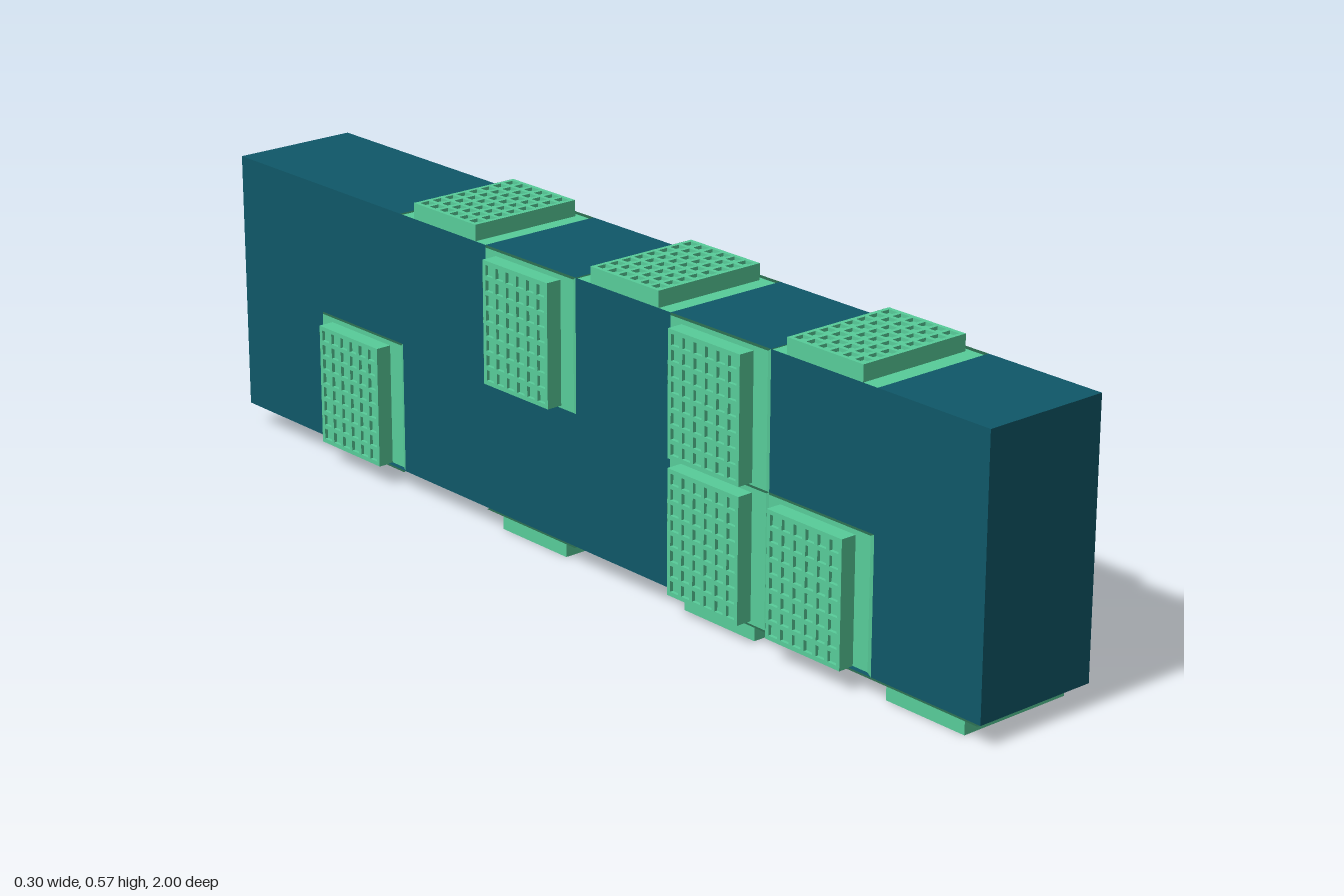
import * as THREE from 'three';
import { mergeGeometries } from 'three/addons/utils/BufferGeometryUtils.js';

const V = (x, y, z) => new THREE.Vector3(x, y, z);
const X = 0.127, Y0 = 0.044, Y1 = 0.55, YM = (Y0 + Y1) / 2; // duct walls
const CELL = 0.25;
const SHIFT = V(0.01, -0.01, -0.018); // trays sit slightly off their openings
const BOX_U = 0.1175, BOX_Z = 0.09, DEPTH = 0.031;

// Flat-shaded geometry from four-cornered faces
function quads(list) {
  const pos = [];
  for (const [a, b, c, d] of list) for (const p of [a, b, c, a, c, d]) pos.push(p.x, p.y, p.z);
  const g = new THREE.BufferGeometry();
  g.setAttribute('position', new THREE.Float32BufferAttribute(pos, 3));
  g.computeVertexNormals();
  return g;
}

// Rectangular loop in tray space: x across, y outward, z along the duct
const loop = (hx, hz, y) => [V(-hx, y, hz), V(hx, y, hz), V(hx, y, -hz), V(-hx, y, -hz)];

// Skin through successive loops
function loft(loops) {
  const list = [];
  for (let i = 0; i + 1 < loops.length; i++) {
    for (let k = 0; k < 4; k++) {
      const n = (k + 1) % 4;
      list.push([loops[i][k], loops[i][n], loops[i + 1][n], loops[i + 1][k]]);
    }
  }
  return quads(list);
}

// Solid sheet with a lattice of bars on both faces
function gratingGeometry() {
  const parts = [];
  const box = (w, h, d, x, y, z) => parts.push(new THREE.BoxGeometry(w, h, d).translate(x, y, z));
  const mid = DEPTH - 0.008, bar = 0.008, nx = 8, nz = 6;
  box(BOX_U * 2, 0.003, BOX_Z * 2, 0, mid, 0);
  for (let i = 0; i <= nx; i++) {
    box(bar, 0.016, BOX_Z * 2, (i / nx - 0.5) * (BOX_U * 2 - bar), mid, 0);
  }
  for (let i = 0; i <= nz; i++) {
    box(BOX_U * 2, 0.0156, bar, 0, mid, (i / nz - 0.5) * (BOX_Z * 2 - bar));
  }
  return mergeGeometries(parts);
}

export function createModel() {
  const model = new THREE.Group();
  const teal = new THREE.MeshStandardMaterial({ color: 0x0f5768, side: THREE.DoubleSide });
  teal.name = 'deepTeal';
  const green = new THREE.MeshStandardMaterial({ color: 0x57cc99, side: THREE.DoubleSide });
  green.name = 'mintGreen';
  const grating = gratingGeometry();

  function add(parent, name, geometry, material) {
    const m = new THREE.Mesh(geometry, material);
    m.name = name;
    parent.add(m);
  }

  // Recessed tray: sloped collar, flange, side walls and grating
  function addTray(name, centre, normal, halfU) {
    const u = normal.clone().cross(V(0, 0, 1));
    const g = new THREE.Group();
    g.name = name;
    const basis = new THREE.Matrix4().makeBasis(u, normal, V(0, 0, 1));
    basis.setPosition(centre.clone().add(SHIFT));
    g.applyMatrix4(basis);
    const s = V(SHIFT.dot(u), SHIFT.dot(normal), SHIFT.z);
    const opening = loop(halfU, CELL / 2, 0).map((p) => p.sub(s));
    add(g, name + 'Frame', loft([opening, loop(halfU, CELL / 2, 0),
      loop(BOX_U, BOX_Z, 0), loop(BOX_U, BOX_Z, DEPTH)]), green);
    add(g, name + 'Grating', grating, green);
    model.add(g);
  }

  // Rows of square cells, each a plain panel or a tray
  const rows = [
    { name: 'ceiling', c: V(0, Y1, 0), n: V(0, 1, 0), half: X, trays: [1, 3, 5] },
    { name: 'floor', c: V(0, Y0, 0), n: V(0, -1, 0), half: X, trays: [0, 2, 4] },
    { name: 'upperWall', c: V(-X, (YM + Y1) / 2, 0), n: V(-1, 0, 0), half: (Y1 - YM) / 2, trays: [2, 4] },
    { name: 'lowerWall', c: V(-X, (YM + Y0) / 2, 0), n: V(-1, 0, 0), half: (YM - Y0) / 2, trays: [1, 2, 6] },
  ];
  for (const { name, c, n, half, trays } of rows) {
    const u = n.clone().cross(V(0, 0, 1)).multiplyScalar(half);
    const panels = [];
    for (let i = 0; i < 8; i++) {
      const centre = c.clone().setZ(1 - (i + 0.5) * CELL);
      if (trays.includes(i)) { addTray(name + 'Tray', centre, n, half); continue; }
      const corner = (a, b) => centre.clone().addScaledVector(u, a).add(V(0, 0, b * CELL / 2));
      panels.push([corner(-1, 1), corner(1, 1), corner(1, -1), corner(-1, -1)]);
    }
    add(model, name, quads(panels), teal);
  }

  // End walls
  const end = (z) => [V(-X, Y0, z), V(X, Y0, z), V(X, Y1, z), V(-X, Y1, z)];
  add(model, 'frontWall', quads([end(1)]), teal);
  add(model, 'backWall', quads([end(-1).reverse()]), teal);

  // Narrow lips along the open side
  const lip = (y, z) => quads([[V(X, y, z), V(X + SHIFT.x, y + SHIFT.y, z + SHIFT.z),
    V(X + SHIFT.x, y + SHIFT.y, z - CELL + SHIFT.z), V(X, y, z - CELL)]]);
  add(model, 'upperLip', lip(Y1, 1), green);
  add(model, 'lowerLip', lip(Y0, -0.25), green);

  // Open rim standing off the open side near the front
  const rim = (x) => [V(x, 0.293, 0.95), V(x, 0.53, 0.95), V(x, 0.53, 0.77), V(x, 0.293, 0.77)];
  add(model, 'sideRim', loft([rim(X), rim(0.147)]), green);

  return model;
}
